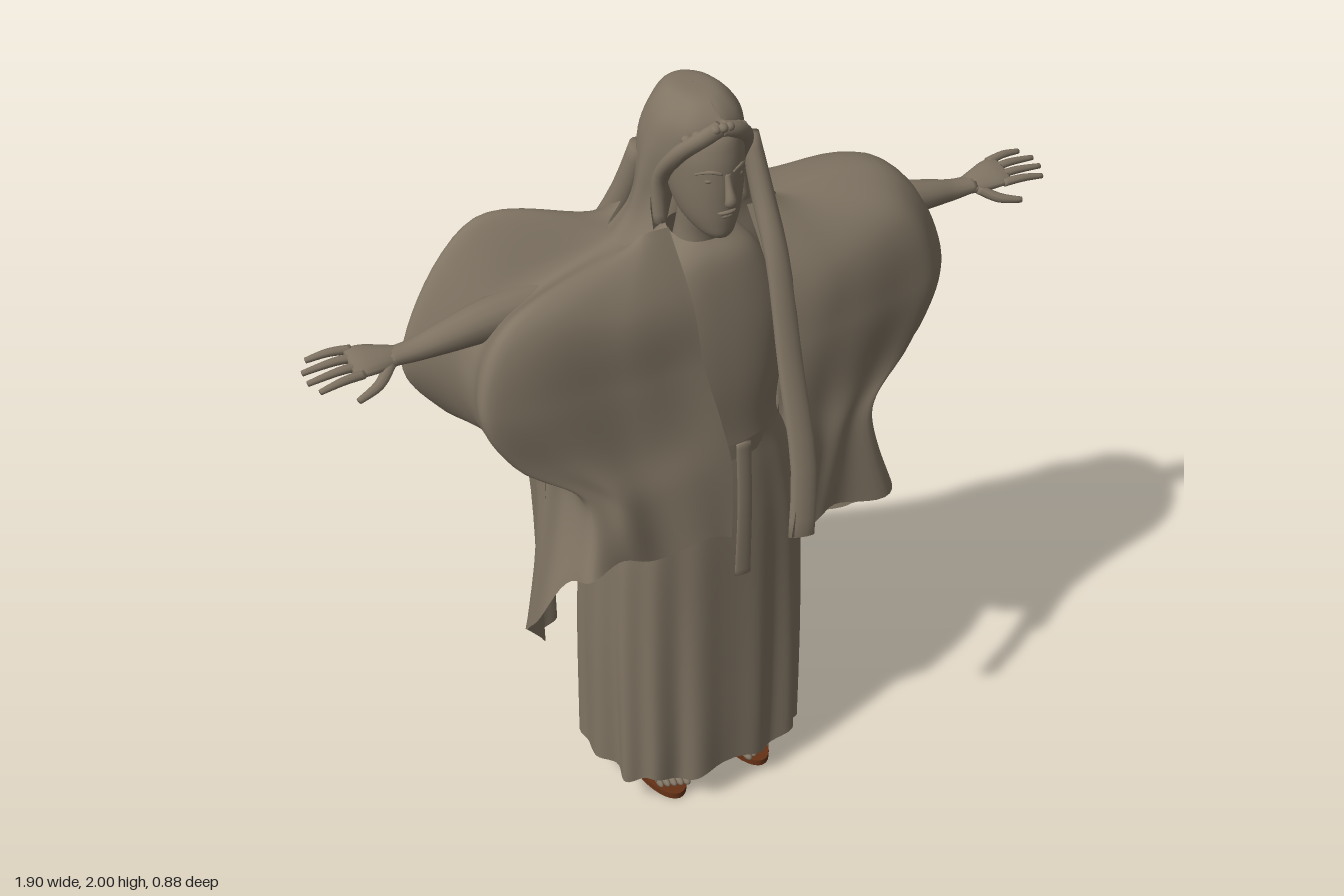
import * as THREE from 'three';
import { mergeVertices } from 'three/addons/utils/BufferGeometryUtils.js';

const V = (x, y, z) => new THREE.Vector3(x, y, z);
const cloth = new THREE.MeshStandardMaterial({ color: 0x807463, side: THREE.DoubleSide });
cloth.name = 'taupe';
const leather = new THREE.MeshStandardMaterial({ color: 0x663216, side: THREE.DoubleSide });
leather.name = 'sandal brown';

function add(parent, name, geometry, material = cloth) {
  const mesh = new THREE.Mesh(geometry, material);
  mesh.name = name;
  parent.add(mesh);
  return mesh;
}

// Smooth grid surface from a rule f(u, v) -> Vector3
function surface(nu, nv, f) {
  const pos = [], idx = [];
  for (let j = 0; j <= nv; j++)
    for (let i = 0; i <= nu; i++) pos.push(...f(i / nu, j / nv).toArray());
  for (let j = 0; j < nv; j++)
    for (let i = 0; i < nu; i++) {
      const a = j * (nu + 1) + i, b = a + nu + 1;
      idx.push(a, a + 1, b, a + 1, b + 1, b);
    }
  let g = new THREE.BufferGeometry();
  g.setAttribute('position', new THREE.Float32BufferAttribute(pos, 3));
  g.setIndex(idx);
  g = mergeVertices(g, 1e-5);
  g.computeVertexNormals();
  return g;
}

// Interpolates rows of numbers smoothly at t = 0..1
function sample(rows, t) {
  const k = t * (rows.length - 1), i = Math.min(Math.floor(k), rows.length - 2), f = k - i;
  const at = n => rows[Math.max(0, Math.min(rows.length - 1, n))];
  return rows[0].map((_, c) => {
    const a = at(i - 1)[c], b = at(i)[c], d = at(i + 1)[c], e = at(i + 2)[c];
    return b + 0.5 * f * (d - a + f * (2 * a - 5 * b + 4 * d - e + f * (3 * (b - d) + e - a)));
  });
}

// Tapered limb or ribbon; rows are [x, y, z, radius across, radius through]
function limb(rows, across, nu = 14, nv = 16) {
  return surface(nu, nv + 2, (u, v) => {
    const cap = v === 0 || v === 1 ? 0 : 1;
    const t = Math.max(0, Math.min(1, (v * (nv + 2) - 1) / nv));
    const p = sample(rows, t), q = sample(rows, Math.min(1, t + 0.01)), o = sample(rows, Math.max(0, t - 0.01));
    const dir = V(q[0] - o[0], q[1] - o[1], q[2] - o[2]).normalize();
    const n = dir.clone().cross(across).normalize(), s = n.clone().cross(dir).normalize();
    const a = u * Math.PI * 2;
    return V(p[0], p[1], p[2]).addScaledVector(s, Math.cos(a) * p[3] * cap).addScaledVector(n, Math.sin(a) * p[4] * cap);
  });
}

function ball(parent, name, x, y, z, sx, sy, sz) {
  const g = new THREE.SphereGeometry(1, 14, 10);
  g.scale(sx, sy, sz);
  g.translate(x, y, z);
  return add(parent, name, g);
}

// Mantle half: columns run shoulder to hem, from the front edge round to the centre back
function mantle(columns, side) {
  const cols = columns.map(c => [0, 3, 6, 9, 12, 15].map(i => c.slice(i, i + 3)));
  return surface(90, 50, (u, v) => {
    const p = sample(cols.map(c => sample(c, v)), u);
    const fold = v * (0.005 + 0.007 * v) * Math.sin(u * Math.PI);
    const w = Math.sin(u * 62 + 5 * v + side) + 0.6 * Math.sin(u * 37 - 7 * v);
    return V(side * (p[0] + fold * w * 0.7), p[1] + 0.012 * v * v * Math.sin(u * 45 + side), p[2] + fold * w * (u < 0.45 ? 1 : -1));
  });
}
const centreBack = [0, 1.70, -.05, 0, 1.53, -.10, 0, 1.35, -.14, 0, 1.15, -.17, 0, .90, -.21, 0, .60, -.24];
const leftMantle = [
  [.10, 1.70, .14, .11, 1.55, .235, .11, 1.40, .285, .11, 1.25, .335, .11, 1.10, .39, .06, .95, .445],
  [.16, 1.70, .14, .27, 1.56, .25, .28, 1.40, .28, .27, 1.22, .29, .25, 1.10, .32, .21, .92, .36],
  [.20, 1.68, .10, .46, 1.61, .20, .56, 1.42, .23, .50, 1.24, .24, .39, 1.12, .27, .46, .86, .29],
  [.20, 1.68, .08, .51, 1.66, .08, .65, 1.44, .09, .61, 1.26, .09, .40, 1.14, .09, .40, .69, .12],
  [.20, 1.68, .04, .47, 1.64, -.04, .58, 1.42, -.09, .53, 1.25, -.09, .38, 1.08, -.08, .32, .50, -.12],
  [.15, 1.70, .00, .29, 1.58, -.11, .31, 1.40, -.14, .29, 1.20, -.17, .26, .95, -.21, .23, .47, -.21],
  [.10, 1.70, -.05, .13, 1.53, -.14, .14, 1.35, -.18, .14, 1.20, -.23, .14, 1.03, -.31, .13, .80, -.43],
  centreBack,
];
// The right sleeve gapes at the top, its back half standing higher than the front
const rightMantle = [
  [.10, 1.70, .14, .09, 1.55, .235, .08, 1.40, .27, .05, 1.25, .30, .03, 1.12, .32, .04, .94, .34],
  [.16, 1.70, .14, .27, 1.57, .25, .28, 1.40, .27, .27, 1.22, .28, .25, 1.10, .31, .24, .94, .33],
  [.20, 1.67, .12, .50, 1.62, .21, .59, 1.42, .24, .52, 1.25, .25, .39, 1.13, .28, .43, .95, .33],
  [.20, 1.67, .08, .49, 1.58, .09, .58, 1.44, .09, .55, 1.26, .09, .40, 1.13, .10, .48, .66, .12],
  [.20, 1.68, .04, .49, 1.73, -.05, .68, 1.45, -.05, .58, 1.26, -.07, .38, 1.08, -.08, .33, .40, -.10],
  [.15, 1.70, .00, .29, 1.61, -.11, .32, 1.42, -.14, .29, 1.20, -.16, .27, .95, -.19, .26, .50, -.20],
  [.10, 1.70, -.05, .16, 1.53, -.13, .18, 1.35, -.17, .18, 1.20, -.21, .19, 1.00, -.28, .19, .76, -.37],
  centreBack,
];

// Gown rows: y, half width, centre z, half depth
const gownRows = [
  [.10, .285, .06, .22], [.25, .285, .06, .22], [.45, .285, .06, .215], [.65, .28, .06, .21], [.85, .27, .06, .205],
  [1.02, .235, .07, .185], [1.14, .19, .08, .165], [1.3, .2, .09, .155], [1.46, .2, .095, .135], [1.6, .13, .1, .1], [1.65, .065, .09, .07],
];
function gown(u, v) {
  const [y, rx, zc, rz] = sample(gownRows, v), a = u * Math.PI * 2;
  const box = t => Math.sign(t) * Math.pow(Math.abs(t), 0.75);
  const amp = 0.05 * Math.max(0, 1 - v * 1.7);
  const f = 1 + amp * (Math.sin(a * 15) * 0.7 + Math.sin(a * 8 + 1) * 0.5);
  const hem = v < 0.02 ? 0.012 * Math.sin(a * 9) : 0;
  return V(box(Math.cos(a)) * rx * f, y + hem, zc + box(Math.sin(a)) * rz * f);
}

// Hood rows: y, half width, centre z, half depth, half angle of the face opening
const hoodRows = [
  [2.0, .001, .065, .001, 0], [1.993, .055, .068, .075, 0], [1.95, .095, .075, .115, .15], [1.89, .116, .065, .122, .8],
  [1.82, .128, .06, .1, 1.1], [1.75, .138, .055, .09, 1.1], [1.69, .155, .05, .12, .95], [1.61, .205, .045, .165, .8],
];
function hood(u, v) {
  const [y, rx, zc, rz, gap] = sample(hoodRows, v);
  const a = gap + u * (Math.PI * 2 - 2 * gap);
  const f = 1 + 0.03 * v * Math.sin(a * 9 + v * 4);
  return V(Math.sin(a) * rx * f, y, zc + Math.cos(a) * rz * f);
}

function head() {
  const g = new THREE.Group();
  g.name = 'head';
  const rows = [[1.675, .001, .17, .001], [1.685, .032, .17, .045], [1.72, .06, .14, .085], [1.77, .076, .125, .103],
    [1.83, .084, .115, .113], [1.89, .084, .11, .112], [1.94, .066, .1, .095], [1.97, .001, .09, .001]];
  add(g, 'face', surface(32, 28, (u, v) => {
    const [y, rx, zc, rz] = sample(rows, v), a = u * Math.PI * 2;
    return V(Math.cos(a) * rx, y, zc + Math.sin(a) * rz);
  }));
  add(g, 'neck', limb([[0, 1.58, .08, .06, .06], [0, 1.66, .09, .05, .05], [0, 1.74, .11, .05, .05]], V(1, 0, 0)));
  add(g, 'nose', limb([[0, 1.85, .222, .008, .008], [0, 1.82, .232, .009, .01], [0, 1.79, .242, .014, .012], [0, 1.78, .232, .012, .008]], V(1, 0, 0)));
  ball(g, 'upperLip', 0, 1.756, .221, .024, .006, .012);
  ball(g, 'lowerLip', 0, 1.745, .217, .02, .007, .012);
  ball(g, 'chin', 0, 1.7, .202, .024, .018, .018);
  for (const s of [-1, 1]) {
    ball(g, 'eye', s * .034, 1.836, .205, .015, .008, .012);
    add(g, 'brow', limb([[s * .012, 1.853, .222, .004, .007], [s * .036, 1.86, .212, .005, .008], [s * .06, 1.85, .189, .003, .005]], V(0, 1, 0), 8, 8));
    // Twisted hair framing the forehead
    add(g, 'hairLock', limb([[0, 1.945, .19, .018, .02], [s * .045, 1.93, .19, .017, .02], [s * .085, 1.88, .15, .018, .022],
      [s * .1, 1.8, .1, .016, .02], [s * .105, 1.7, .11, .012, .016]], V(0, 0, 1)));
  }
  for (let i = -4; i <= 4; i++) ball(g, 'hairCurl', i * .017, 1.952 - i * i * .0018, .2 - i * i * .0022, .013, .011, .013);
  return g;
}

function arm() {
  const g = new THREE.Group();
  add(g, 'forearm', limb([[.3, 1.56, .08, .06, .06], [.5, 1.56, .085, .05, .05], [.62, 1.55, .09, .039, .036],
    [.7, 1.54, .09, .029, .025], [.76, 1.54, .09, .028, .018]], V(0, 0, 1)));
  // The hand tilts, thumb side low
  const across = V(0, -.3, 1).normalize();
  add(g, 'palm', limb([[.74, 1.54, .09, .025, .017], [.78, 1.545, .09, .037, .018], [.82, 1.55, .088, .045, .016], [.85, 1.55, .087, .042, .011]], across));
  [.93, .95, .95, .935].forEach((tip, i) => {
    const y = 1.561 - i * .007, z = .051 + i * .024, spread = (i - 1.5) * .008;
    add(g, 'finger', limb([[.83, y, z, .011, .01], [.88, y + .003, z + spread * .6, .01, .009], [tip, y - .004, z + spread, .007, .006]], across, 8, 8));
  });
  add(g, 'thumb', limb([[.765, 1.535, .11, .014, .013], [.805, 1.515, .142, .013, .011], [.86, 1.503, .16, .008, .007]], across, 8, 8));
  return g;
}

function foot() {
  const g = new THREE.Group();
  const sole = new THREE.CylinderGeometry(1, 1, .018, 32);
  sole.scale(.058, 1, .138);
  sole.translate(.126, .009, .104);
  add(g, 'sole', sole, leather);
  add(g, 'ankle', limb([[.125, .3, .03, .046, .046], [.125, .14, .03, .036, .038], [.126, .075, .035, .034, .042], [.126, .03, .03, .034, .04]], V(1, 0, 0)));
  add(g, 'instep', limb([[.126, .05, .0, .03, .028], [.126, .06, .06, .034, .036], [.126, .045, .13, .042, .024], [.126, .033, .19, .044, .014]], V(1, 0, 0)));
  for (let i = 0; i < 5; i++) ball(g, 'toe', .094 + i * .0165, .029, .212 - i * .006, .011 - i * .0007, .011, .022);
  const strap = new THREE.TorusGeometry(.041, .005, 6, 24);
  strap.rotateX(Math.PI / 2);
  strap.translate(.126, .085, .034);
  add(g, 'ankleStrap', strap, leather);
  const band = new THREE.TorusGeometry(.046, .006, 6, 20, Math.PI);
  band.scale(1, 1, 2);
  band.translate(.126, .018, .14);
  add(g, 'toeStrap', band, leather);
  return g;
}

export function createModel() {
  const model = new THREE.Group();
  model.name = 'robedFigure';
  add(model, 'gown', surface(150, 50, gown));
  add(model, 'leftMantle', mantle(leftMantle, 1));
  add(model, 'rightMantle', mantle(rightMantle, -1));
  add(model, 'hood', surface(60, 32, hood));
  model.add(head());

  // Belt with its hanging end
  const belt = new THREE.CylinderGeometry(1, 1, .045, 40, 1, true);
  belt.scale(.215, 1, .182);
  belt.translate(0, 1.11, .075);
  add(model, 'belt', belt);
  add(model, 'sash', limb([[.035, 1.13, .258, .02, .007], [.035, .95, .27, .02, .006], [.03, .74, .275, .022, .005]], V(1, 0, 0)));
  // Veil falls: one in front, and two down the back ridges
  const x = V(1, 0, 0);
  add(model, 'frontFall', limb([[.125, 1.86, .1, .02, .03], [.135, 1.72, .15, .026, .03], [.135, 1.58, .225, .03, .018], [.13, 1.35, .3, .033, .014],
    [.125, 1.12, .382, .035, .014], [.095, .95, .432, .036, .012]], x));
  add(model, 'leftBackFall', limb([[.1, 1.84, .01, .025, .03], [.11, 1.7, -.04, .035, .035], [.125, 1.5, -.125, .045, .04], [.135, 1.25, -.2, .05, .035],
    [.135, 1.05, -.285, .05, .03], [.125, .8, -.415, .045, .025]], x));
  add(model, 'rightBackFall', limb([[-.1, 1.84, .01, .025, .03], [-.12, 1.7, -.035, .035, .035], [-.16, 1.5, -.12, .05, .04], [-.18, 1.25, -.185, .055, .035],
    [-.18, 1.0, -.265, .055, .03], [-.18, .74, -.355, .05, .025]], x));
  add(model, 'innerBackFall', limb([[.05, 1.68, -.05, .025, .03], [.055, 1.45, -.14, .025, .03], [.06, 1.1, -.22, .022, .03], [.055, .72, -.345, .018, .025]], x));

  // Mirrored limbs
  for (const s of [1, -1]) {
    const name = s > 0 ? 'left' : 'right';
    for (const [part, build] of [['Arm', arm], ['Foot', foot]]) {
      const g = build();
      g.name = name + part;
      g.scale.x = s;
      model.add(g);
    }
  }
  return model;
}
